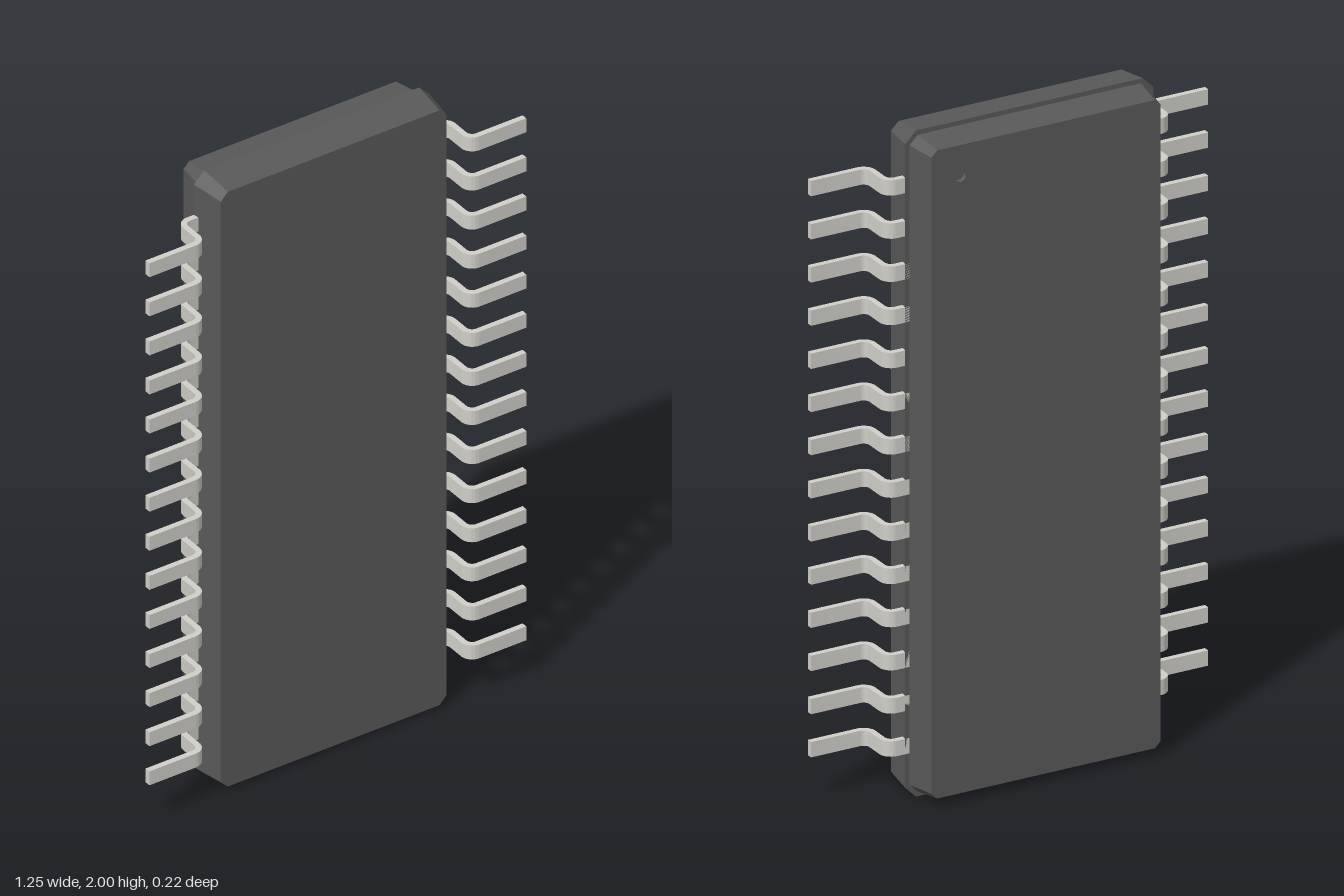
import * as THREE from 'three';
import { toCreasedNormals } from 'three/addons/utils/BufferGeometryUtils.js';

const bodyMat = new THREE.MeshStandardMaterial({ color: 0x595959 });
const leadMat = new THREE.MeshStandardMaterial({ color: 0xcfcec8 });

const STEP = -0.017, FRONT = 0.09, BACK = -0.11;
const LEADS = 14, PITCH = 0.1296, LEAD_WIDTH = 0.046;

// Rectangle with cut corners, counter-clockwise, as 2D points
function outline(w, h, c) {
  return [[-w + c, -h], [w - c, -h], [w, -h + c], [w, h - c],
    [w - c, h], [-w + c, h], [-w, h - c], [-w, -h + c]].map(([x, y]) => new THREE.Vector2(x, y));
}

// Sloping wall between two outlines, with flat facets
function wall(back, zBack, front, zFront) {
  const pos = [];
  back.forEach((b, i) => {
    const j = (i + 1) % back.length;
    const q = [[b, zBack], [back[j], zBack], [front[j], zFront], [front[i], zFront]];
    for (const k of [0, 1, 2, 0, 2, 3]) pos.push(q[k][0].x, q[k][0].y, q[k][1]);
  });
  const g = new THREE.BufferGeometry();
  g.setAttribute('position', new THREE.Float32BufferAttribute(pos, 3));
  g.computeVertexNormals();
  return g;
}

function add(parent, name, geometry, material) {
  const mesh = new THREE.Mesh(geometry, material);
  mesh.name = name;
  parent.add(mesh);
  return mesh;
}

// Gull-wing lead: bent strip profile in x/z, extruded along y
function leadGeometry() {
  const s = new THREE.Shape();
  const P = Math.PI, rOut = 0.037, rIn = 0.019;
  const x1 = 0.416, z1 = 0.02, x2 = 0.472, z2 = 0.073;
  s.moveTo(0.365, STEP);
  s.lineTo(x1, STEP);
  s.absarc(x1, z1, rOut, -P / 2, 0, false);
  s.absarc(x2, z2, rIn, P, P / 2, true);
  s.lineTo(0.627, 0.092);
  s.lineTo(0.627, 0.11);
  s.absarc(x2, z2, rOut, P / 2, P, false);
  s.absarc(x1, z1, rIn, 0, -P / 2, true);
  s.lineTo(0.365, 0.001);
  const g = new THREE.ExtrudeGeometry(s, { depth: LEAD_WIDTH, bevelEnabled: false, curveSegments: 8 });
  g.translate(0, 0, -LEAD_WIDTH / 2);
  g.rotateX(P / 2);
  return toCreasedNormals(g, 0.6);
}

export function createModel() {
  const model = new THREE.Group();
  model.name = 'chipPackage';

  const body = new THREE.Group();
  body.name = 'body';
  body.position.y = 1;
  model.add(body);

  // Front half, slightly wider than the back half at the parting line
  const fWide = outline(0.392, 1, 0.034), fNarrow = outline(0.376, 0.986, 0.024);
  add(body, 'frontShellWall', wall(fWide, STEP, fNarrow, FRONT), bodyMat);
  add(body, 'frontFace', new THREE.ShapeGeometry(new THREE.Shape(fNarrow)), bodyMat).position.z = FRONT;
  const ledge = add(body, 'partingLedge', new THREE.ShapeGeometry(new THREE.Shape(fWide)), bodyMat);
  ledge.rotation.y = Math.PI;
  ledge.position.z = STEP;

  // Back half, its face pierced by the orientation dimple
  const bWide = outline(0.378, 0.986, 0.026), bNarrow = outline(0.362, 0.973, 0.018);
  add(body, 'backShellWall', wall(bNarrow, BACK, bWide, STEP), bodyMat);
  const dx = 0.27, dy = 0.88, dr = 0.018, depth = 0.015;
  const face = new THREE.Shape(bNarrow);
  face.holes.push(new THREE.Path().absarc(-dx, dy, dr, 0, Math.PI * 2, true));
  const back = add(body, 'backFace', new THREE.ShapeGeometry(face, 24), bodyMat);
  back.rotation.y = Math.PI;
  back.position.z = BACK;

  // Dimple wall and floor
  const rimMat = bodyMat.clone();
  rimMat.side = THREE.DoubleSide;
  const rim = add(body, 'dimpleWall', new THREE.CylinderGeometry(dr, dr, depth, 24, 1, true), rimMat);
  rim.rotation.x = Math.PI / 2;
  rim.position.set(dx, dy, BACK + depth / 2);
  const floor = add(body, 'dimpleFloor', new THREE.CircleGeometry(dr, 24), bodyMat);
  floor.rotation.y = Math.PI;
  floor.position.set(dx, dy, BACK + depth);

  // Two mirrored rows of leads
  const geo = leadGeometry();
  for (const side of ['left', 'right']) {
    const row = new THREE.Group();
    row.name = side + 'Leads';
    row.position.y = 1;
    if (side === 'right') row.rotation.z = Math.PI;
    for (let i = 0; i < LEADS; i++) {
      add(row, 'lead', geo, leadMat).position.y = (i - (LEADS - 1) / 2) * PITCH;
    }
    model.add(row);
  }
  return model;
}
